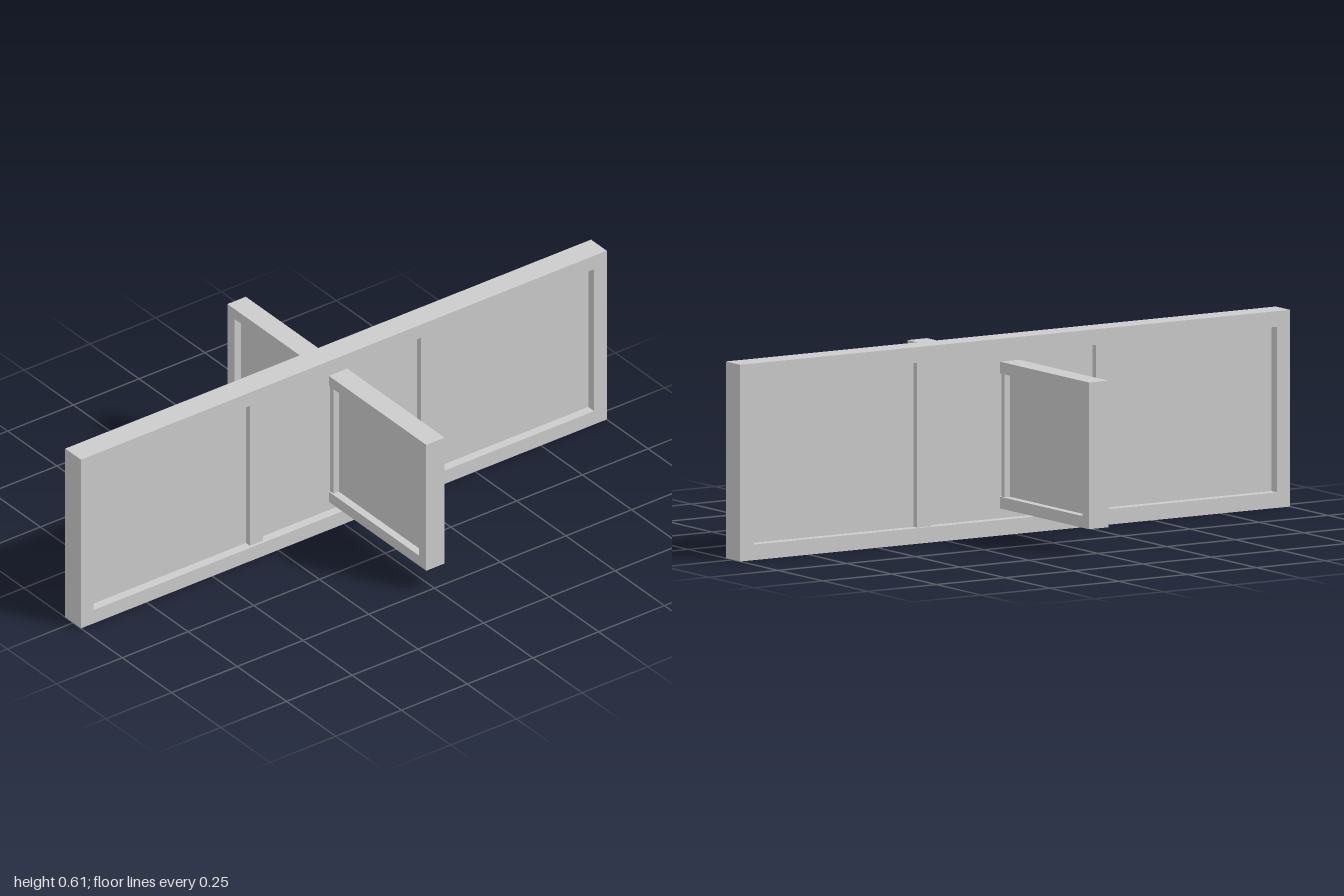
import * as THREE from 'three';

const material = new THREE.MeshStandardMaterial({ color: 0xcccccc, flatShading: true });

// Framed panel standing in the xy plane: rectangular frame, thin sheet, upright bars
function framedPanel(name, { length, height, depth, border, barWidth, barDepth, bars }) {
  const group = new THREE.Group();
  group.name = name;
  const add = (part, geometry, x = 0) => {
    const mesh = new THREE.Mesh(geometry, material);
    mesh.name = part;
    mesh.position.x = x;
    group.add(mesh);
  };

  const rectangle = (Type, w, h) => new Type([
    new THREE.Vector2(-w / 2, -h / 2), new THREE.Vector2(w / 2, -h / 2),
    new THREE.Vector2(w / 2, h / 2), new THREE.Vector2(-w / 2, h / 2),
  ]);
  const innerLength = length - 2 * border;
  const innerHeight = height - 2 * border;
  const outline = rectangle(THREE.Shape, length, height);
  outline.holes.push(rectangle(THREE.Path, innerLength, innerHeight));
  const frame = new THREE.ExtrudeGeometry(outline, { depth, bevelEnabled: false });
  frame.translate(0, 0, -depth / 2);

  add('frame', frame);
  add('sheet', new THREE.BoxGeometry(innerLength, innerHeight, 0.02));
  for (const x of bars) add('upright', new THREE.BoxGeometry(barWidth, innerHeight, barDepth), x);
  return group;
}

export function createModel() {
  const model = new THREE.Group();
  model.name = 'crossedPanels';

  // Long panel running front to back
  const longPanel = framedPanel('longPanel', {
    length: 2, height: 0.606, depth: 0.08, border: 0.048,
    barWidth: 0.05, barDepth: 0.06, bars: [-0.325, 0.325],
  });
  longPanel.rotation.y = Math.PI / 2;
  longPanel.position.y = 0.303;

  // Short panel crossing it from side to side
  const crossPanel = framedPanel('crossPanel', {
    length: 1.01, height: 0.452, depth: 0.07, border: 0.036,
    barWidth: 0.055, barDepth: 0.06, bars: [0],
  });
  crossPanel.position.y = 0.304;

  model.add(longPanel, crossPanel);
  return model;
}
